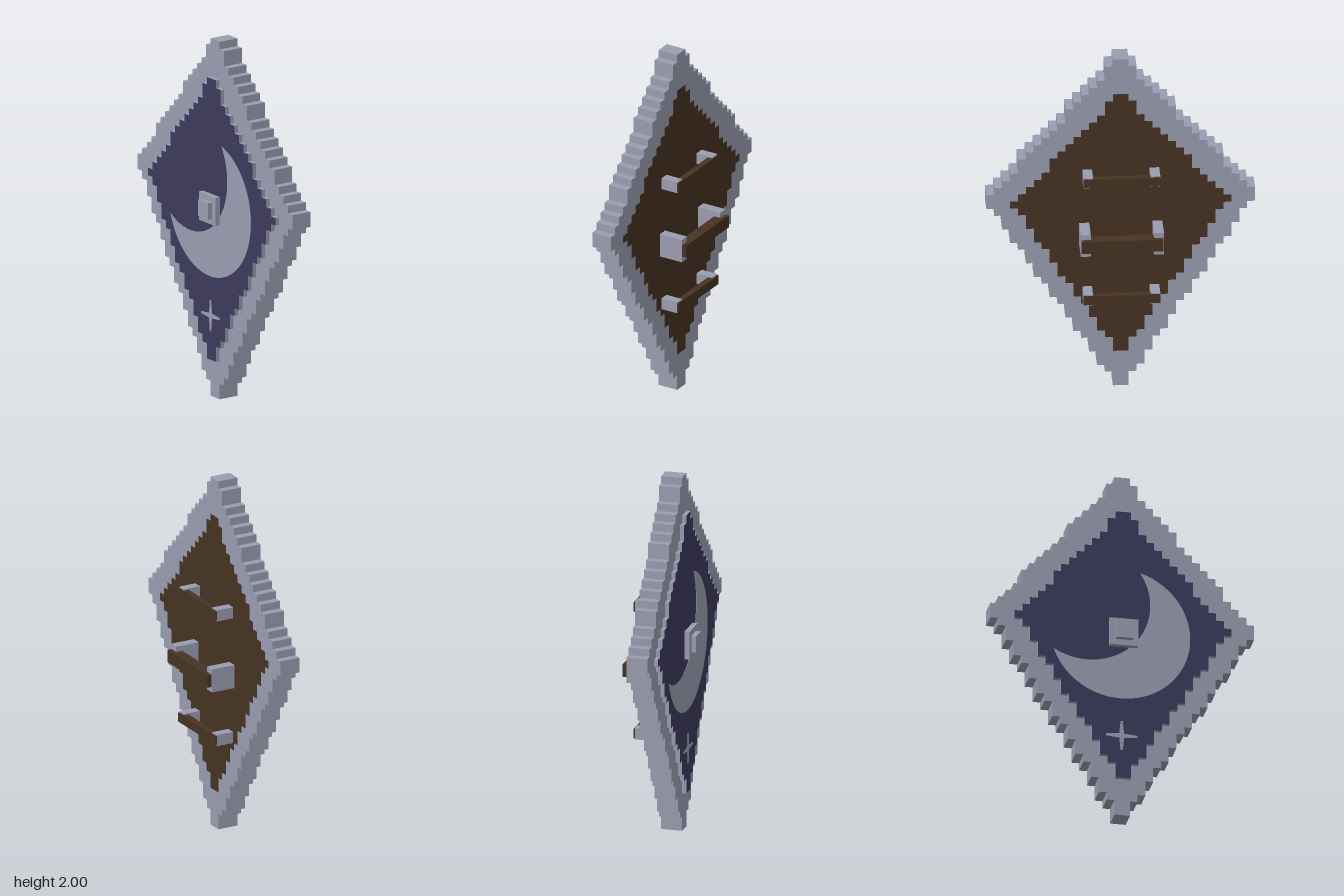
import * as THREE from 'three';

const U = 2 / 47; // one stair step

const mat = (name, color) => {
  const m = new THREE.MeshStandardMaterial({ color });
  m.name = name;
  return m;
};

// Stair-stepped diamond: rows y0..y1 (in steps), widest between w0 and w1
function diamondShape(y0, w0, w1, y1, half, lowOff, highOff) {
  const rows = [];
  for (let r = y0; r < y1; r++) {
    let hw = half;
    if (r < w0) hw = Math.floor(((half - 1) / (w0 - y0)) * (r - y0) + lowOff);
    else if (r >= w1) hw = Math.floor(((half - 1) / (y1 - w1)) * (y1 - 1 - r) + highOff);
    rows.push([r, hw]);
  }
  const pts = [];
  const add = (x, y) => pts.push(new THREE.Vector2(x * U, y * U));
  rows.forEach(([r, hw], i) => {
    if (i === 0 || rows[i - 1][1] !== hw) add(hw, r);
    if (i === rows.length - 1 || rows[i + 1][1] !== hw) add(hw, r + 1);
  });
  const right = pts.slice().reverse();
  right.forEach((p) => pts.push(new THREE.Vector2(-p.x, p.y)));
  return new THREE.Shape(pts);
}

// Crescent between two overlapping circles
function crescentShape(c1, r1, c2, r2) {
  const d = c2.clone().sub(c1);
  const len = d.length();
  const a = (len * len + r1 * r1 - r2 * r2) / (2 * len);
  const h = Math.sqrt(r1 * r1 - a * a);
  d.normalize();
  const mid = c1.clone().addScaledVector(d, a);
  const side = new THREE.Vector2(d.y, -d.x);
  const top = mid.clone().addScaledVector(side, h);
  const low = mid.clone().addScaledVector(side, -h);
  const ang = (p, c) => Math.atan2(p.y - c.y, p.x - c.x);
  const s = new THREE.Shape();
  s.absarc(c1.x, c1.y, r1, ang(top, c1), ang(low, c1), true);
  s.absarc(c2.x, c2.y, r2, ang(low, c2), ang(top, c2), false);
  return s;
}

// Thin four-armed star
function starShape(cx, cy, arm, tip, waist) {
  const pts = [];
  for (let i = 0; i < 4; i++) {
    const t = (i * Math.PI) / 2;
    for (const [x, y] of [[waist, -waist], [arm, -tip], [arm, tip]]) {
      pts.push(new THREE.Vector2(
        cx + x * Math.cos(t) - y * Math.sin(t),
        cy + x * Math.sin(t) + y * Math.cos(t)));
    }
  }
  return new THREE.Shape(pts);
}

export function createModel() {
  const group = new THREE.Group();
  group.name = 'diamondShield';
  const steel = mat('steel grey', 0x9a9db0);
  const navy = mat('night blue', 0x3c3a5c);
  const wood = mat('dark wood', 0x463322);

  const add = (name, geo, material) => {
    const m = new THREE.Mesh(geo, material);
    m.name = name;
    group.add(m);
    return m;
  };
  const plate = (name, shape, z0, z1, material) => {
    const geo = new THREE.ExtrudeGeometry(shape, { depth: z1 - z0, bevelEnabled: false, curveSegments: 40 });
    geo.translate(0, 0, z0);
    return add(name, geo, material);
  };
  const box = (name, x0, x1, y0, y1, z0, z1, material) => {
    const geo = new THREE.BoxGeometry(x1 - x0, y1 - y0, z1 - z0);
    geo.translate((x0 + x1) / 2, (y0 + y1) / 2, (z0 + z1) / 2);
    return add(name, geo, material);
  };

  // Shield body, raised front field and wooden backing
  const inner = diamondShape(5, 26, 27, 42, 14, 1.2, 1.2);
  plate('frame', diamondShape(0, 26, 28, 47, 17, 1.2, 1.25), -0.017, 0.1, steel);
  plate('frontField', inner, 0.05, 0.123, [navy, steel]);
  plate('backing', inner, -0.019, -0.01, wood);

  // Emblems on the front
  const moon = crescentShape(new THREE.Vector2(-0.016, 1.064), 0.384, new THREE.Vector2(-0.2, 1.243), 0.349);
  plate('crescent', moon, 0.12, 0.125, steel);
  plate('star', starShape(-0.008, 0.46, 0.086, 0.006, 0.013), 0.12, 0.125, steel);

  // Stepped centre boss
  box('bossBase', -0.078, 0.078, 0.985, 1.143, 0.11, 0.152, steel);
  box('bossCap', -0.045, 0.045, 1.018, 1.11, 0.14, 0.179, steel);

  // Arm straps at top and bottom: two posts and a bar each
  for (const [name, y] of [['upper', 1.3], ['lower', 0.583]]) {
    for (const s of [-1, 1]) {
      const x = s * 0.181;
      box(name + 'StrapPost', x - 0.026, x + 0.026, y - 0.032, y + 0.032, -0.118, -0.01, steel);
    }
    box(name + 'StrapBar', -0.206, 0.206, y - 0.026, y + 0.026, -0.125, -0.09, wood);
  }

  // Central hand grip
  for (const s of [-1, 1]) {
    const x = s * 0.197;
    box('gripPost', x - 0.027, x + 0.027, 0.873, 1.005, -0.158, -0.01, steel);
  }
  box('gripBar', -0.22, 0.22, 0.904, 0.975, -0.182, -0.12, wood);

  return group;
}
